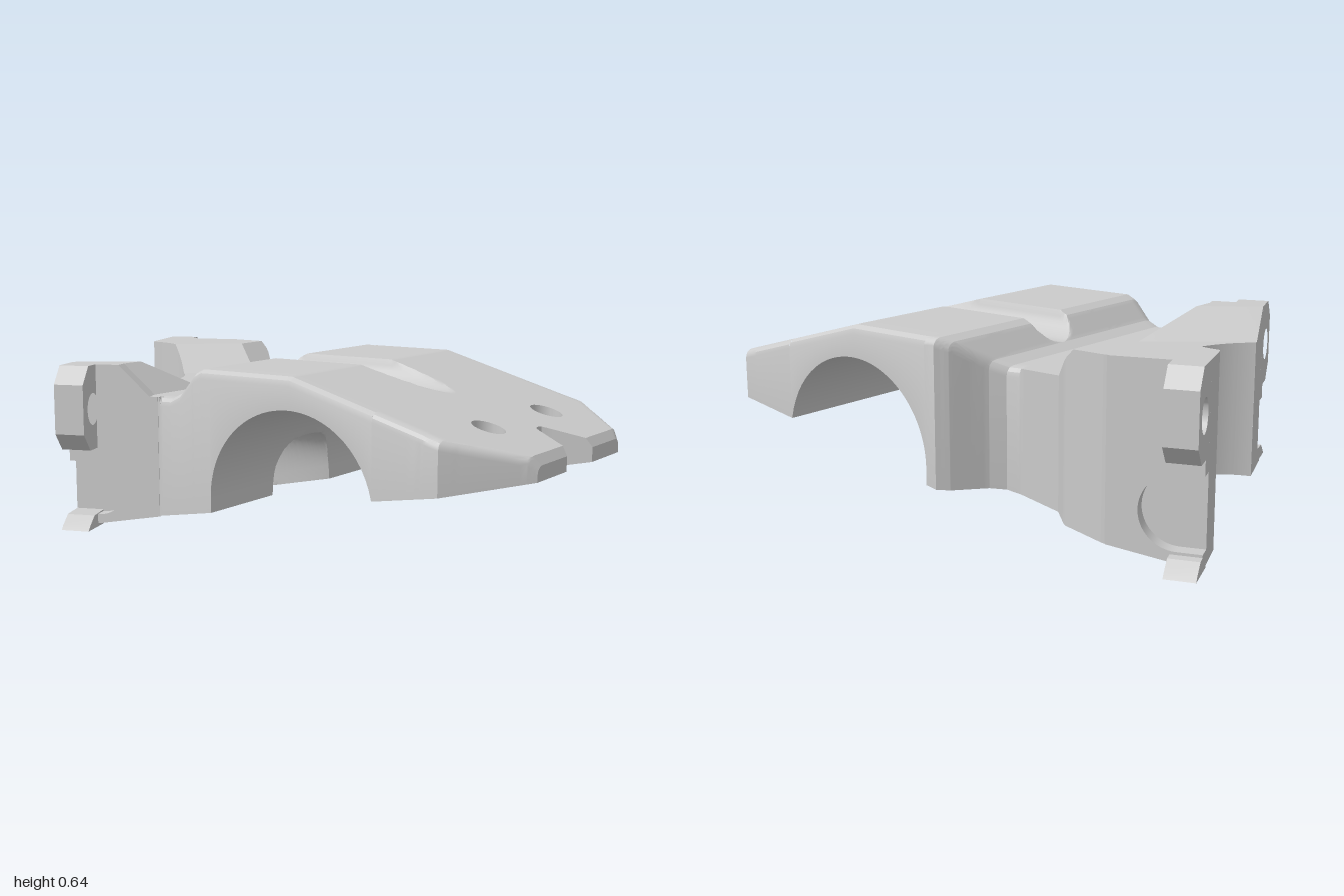
import * as THREE from 'three';
import { toCreasedNormals } from 'three/addons/utils/BufferGeometryUtils.js';

const material = new THREE.MeshStandardMaterial({ color: 0xcccccc });

// Piecewise-linear curve through [x, value] points
const curve = (pts) => (x) => {
  if (x <= pts[0][0]) return pts[0][1];
  for (let i = 1; i < pts.length; i++) {
    const [a, va] = pts[i - 1], [b, vb] = pts[i];
    if (x <= b) return va + ((vb - va) * (x - a)) / (b - a);
  }
  return pts[pts.length - 1][1];
};
const halfChord = (r, d) => Math.sqrt(Math.max(0, r * r - d * d));
const ease = (t) => (1 - Math.cos(Math.PI * t)) / 2;
// Stations through the break points, denser close to each break
const stations = (breaks, n) => {
  const out = [breaks[0]];
  for (let i = 1; i < breaks.length; i++)
    for (let k = 1; k <= n; k++) out.push(breaks[i - 1] + (breaks[i] - breaks[i - 1]) * ease(k / n));
  return out;
};
// Strips from lo(x) to hi(x), divided along the given lines
const layers = (lo, hi, ...lines) => {
  const edges = [lo, ...lines.map((f) => (x) => Math.min(hi(x), Math.max(lo(x), f(x)))), hi];
  return edges.slice(1).map((f, i) => [edges[i], f]);
};

// Plan outline
const zMin = curve([[-0.939, -0.353], [-0.69, -0.4436], [-0.683, -0.496], [-0.66, -0.5], [-0.52, -0.5],
  [-0.45, -0.44], [-0.3, -0.44], [-0.25, -0.45], [-0.21, -0.49], [-0.15, -0.61], [-0.12, -0.645],
  [0.78, -0.645], [1, -0.435]]);
const zMax = curve([[-0.674, 0.375], [-0.631, 0.493], [-0.325, 0.382], [-0.318, 0.425], [0.78, 0.425], [1, 0.205]]);
const splitPlane = (x) => 0.07 + 2.747 * (x + 0.785);
const postHalf = (x) => halfChord(0.345, x + 0.895);
const boltHalf = (x) => halfChord(0.055, x - 0.78);
const notchHalf = (x) => (x < 0.85 ? 0 : Math.min(Math.sqrt((x - 0.85) * 0.08), 0.02 + (x - 0.85) * 0.54));

// Fold lines of the raised prong blocks, and the groove lines
const backFoot = (x) => -0.32 - 0.795 * (x + 0.45);
const frontFoot = (x) => 0.13 - 0.795 * (x + 0.34);
const backCrest = (x) => backFoot(x) - 0.128;
const frontCrest = (x) => frontFoot(x) + 0.128;
const groove = [-0.205, -0.105, -0.005].map((z) => () => z);

// Top surface: ridge profile, raised prong blocks, groove and rounded rim
const ridge = curve([[-0.35, 0.545], [-0.25, 0.545], [-0.21, 0.565], [-0.15, 0.635], [-0.12, 0.65],
  [0.2375, 0.65], [0.98, 0.44], [1, 0.41]]);
const block = (dx, dz) => {
  const d = Math.min(dx / 0.1, dz / 0.128, 1);
  return d > 0 ? 0.545 + 0.105 * d : 0;
};
function top(x, z) {
  let y = Math.max(ridge(x), block(-0.45 - x, backFoot(x) - z), block(-0.35 - x, z - frontFoot(x)));
  const dz = Math.abs(z + 0.105);
  if (dz < 0.1 && x > -0.3) y = Math.min(y, 0.665 - halfChord(0.1, dz));
  const r = 0.03, d = Math.min(z - zMin(x), zMax(x) - z);
  if (x > -0.3 && d < r) y -= r - halfChord(r, r - Math.max(0, d));
  return y;
}

// Underside: slanted split faces, big cross bore and the flared passage
const basePlane = (x) => 0.01 + 0.174 * (x + 1);
const passLo = (x) => -0.115 - 0.42 * (Math.min(x, -0.08) + 0.5);
const passHi = () => 0.075;
const passage = (x, z) => {
  const t = (2 * z - passLo(x) - passHi()) / (passHi() - passLo(x));
  return x > 0.05 || Math.abs(t) > 0.9999 ? 0 : 0.1 + 0.27 * Math.cbrt(1 - Math.abs(t) ** 3);
};
const prongBottom = (x, z) => Math.max(basePlane(x), passage(x, z));
const boreBottom = (x, z) => Math.max(0.225 + halfChord(0.3175, x - 0.2375), passage(x, z));
const lipBottom = (x) => 0.2864 + 0.165 * (x - 0.549);

// Solid between top and bottom, over strips [lo(x), hi(x)]; endTop closes the +x end
function slab(name, xs, strips, bottom, nz, endTop) {
  const pos = [];
  const quad = (a, b, c, d) => pos.push(...a, ...b, ...c, ...a, ...c, ...d);
  // Surface cell, split along the diagonal that follows the surface best
  const patch = (f, ...corners) => {
    const v = corners.map(([x, z]) => [x, f(x, z), z]);
    const error = (p, q) => Math.abs((p[1] + q[1]) / 2 - f((p[0] + q[0]) / 2, (p[2] + q[2]) / 2));
    if (error(v[0], v[2]) <= error(v[1], v[3])) quad(...v);
    else quad(v[1], v[2], v[3], v[0]);
  };
  const T = (x, z) => [x, top(x, z), z], B = (x, z) => [x, bottom(x, z), z];
  strips.forEach(([lo, hi], s) => {
    const zAt = (x, k) => lo(x) + (hi(x) - lo(x)) * ease(k / nz);
    const open = (f, g, a, b) => !g || Math.abs(f(a) - g(a)) + Math.abs(f(b) - g(b)) > 1e-4;
    for (let i = 0; i + 1 < xs.length; i++) {
      const a = xs[i], b = xs[i + 1];
      for (let k = 0; k < nz; k++) {
        const a0 = [a, zAt(a, k)], a1 = [a, zAt(a, k + 1)], b0 = [b, zAt(b, k)], b1 = [b, zAt(b, k + 1)];
        patch(top, a0, a1, b1, b0);
        patch(bottom, a0, b0, b1, a1);
      }
      if (open(hi, strips[s + 1]?.[0], a, b)) quad(B(a, hi(a)), B(b, hi(b)), T(b, hi(b)), T(a, hi(a)));
      if (open(lo, strips[s - 1]?.[1], a, b)) quad(B(b, lo(b)), B(a, lo(a)), T(a, lo(a)), T(b, lo(b)));
    }
    if (endTop) {
      const x = xs[xs.length - 1];
      for (let k = 0; k < nz; k++) {
        const z0 = zAt(x, k), z1 = zAt(x, k + 1);
        quad(B(x, z1), B(x, z0), [x, endTop(x, z0), z0], [x, endTop(x, z1), z1]);
      }
    }
  });
  const geo = new THREE.BufferGeometry();
  geo.setAttribute('position', new THREE.Float32BufferAttribute(pos, 3));
  const mesh = new THREE.Mesh(toCreasedNormals(geo, 0.45), material);
  mesh.name = name;
  return mesh;
}

const polygon = (pts) => new THREE.Shape(pts.map((p) => new THREE.Vector2(...p)));
const extrude = (shape, depth) =>
  new THREE.ExtrudeGeometry(shape, { depth, bevelEnabled: false, curveSegments: 16 });
function add(parent, name, geo) {
  const mesh = new THREE.Mesh(toCreasedNormals(geo, 0.5), material);
  mesh.name = name;
  parent.add(mesh);
}

// Screw tab, pocketed cheek and bottom lip at one prong end (s = +1 front, -1 back)
function addProngEnd(parent, s, side) {
  const foot = (u, v) => 0.047 + 0.0595 * u * s + 0.1636 * v;

  const tab = polygon([[0.45, 0.65], [0.56, 0.65], [0.61, 0.59], [0.61, 0.42], [0.56, 0.36], [0.45, 0.36]]
    .map(([u, y]) => [u * s, y]));
  tab.holes.push(new THREE.Path().absellipse(0.53 * s, 0.5, 0.045, 0.055, 0, Math.PI * 2, true));
  add(parent, side + 'ScrewTab', extrude(tab, 0.105).translate(0, 0, -0.105));

  const L = s > 0 ? 0.33 : 0.3, y0 = foot(0.47, 0) + 0.05, r = (0.31 - y0) / 2;
  const cheek = new THREE.Shape();
  cheek.moveTo(0, foot(0.47, 0));
  cheek.lineTo(L, foot(0.47, L));
  if (s > 0) {
    cheek.lineTo(L, 0.545);
    cheek.lineTo(0.3, 0.545);
    cheek.lineTo(0.19, 0.65);
  } else cheek.lineTo(L, 0.65);
  for (const p of [[0.105, 0.65], [0.105, 0.36], [0, 0.36], [0, 0.31], [0.2 - r, 0.31]]) cheek.lineTo(...p);
  cheek.absarc(0.2 - r, 0.31 - r, r, Math.PI / 2, -Math.PI / 2, true);
  cheek.lineTo(0, y0);
  add(parent, side + 'PocketCheek',
    extrude(cheek, 0.05).rotateY(Math.PI / 2).translate(s > 0 ? 0.45 : -0.5, 0, 0));

  const f = foot(0.57, 0);
  const lip = polygon([[0.45, f], [0.585, f], [0.57, f + 0.015], [0.53, f + 0.045], [0.45, f + 0.05]]
    .map(([u, y]) => [u * s, y]));
  add(parent, side + 'BottomLip', extrude(lip, 0.1).translate(0, 0, -0.1));
}

export function createModel() {
  const model = new THREE.Group();
  model.name = 'clampHalf';

  // Prongs either side of the upright post bore
  const backInner = (x) => Math.min(splitPlane(x), 0.11 - postHalf(x));
  const frontInner = (x) => 0.11 + postHalf(x);
  model.add(slab('backProng', stations([-0.939, -0.9, -0.69, -0.683, -0.66, -0.55], 8),
    layers(zMin, backInner, backCrest, backFoot), prongBottom, 14));
  model.add(slab('frontProng', stations([-0.674, -0.631, -0.55], 10),
    layers(frontInner, zMax, frontFoot, frontCrest), prongBottom, 14));

  // Neck with the passage between the two bores
  model.add(slab('neck', stations([-0.55, -0.45, -0.35, -0.325, -0.318, -0.25, -0.21, -0.15, -0.12, -0.08], 12), [
    ...layers(zMin, passLo, backCrest, backFoot),
    ...layers(passLo, passHi, ...groove),
    ...layers(passHi, zMax, frontFoot, frontCrest),
  ], prongBottom, 12, boreBottom));

  // Arch over the cross bore
  model.add(slab('archedBody', stations([-0.08, 0, 0.2375, 0.549], 18),
    layers(zMin, zMax, passLo, ...groove, passHi), boreBottom, 12));

  // Bolting flange with two holes and a centre notch
  const holeA = -0.33, holeB = 0.1;
  model.add(slab('boltFlange', stations([0.549, 0.725, 0.78, 0.835, 0.85, 0.98, 1], 8), [
    [zMin, (x) => holeA - boltHalf(x)],
    [(x) => holeA + boltHalf(x), (x) => -0.11 - notchHalf(x)],
    [(x) => -0.11 + notchHalf(x), (x) => holeB - boltHalf(x)],
    [(x) => holeB + boltHalf(x), zMax],
  ], lipBottom, 16, top));

  // Details on the slanted prong ends
  const ends = new THREE.Group();
  ends.name = 'prongEnds';
  ends.position.set(-0.785, 0, 0.07);
  ends.rotation.y = THREE.MathUtils.degToRad(-70);
  addProngEnd(ends, 1, 'front');
  addProngEnd(ends, -1, 'back');
  model.add(ends);
  return model;
}
